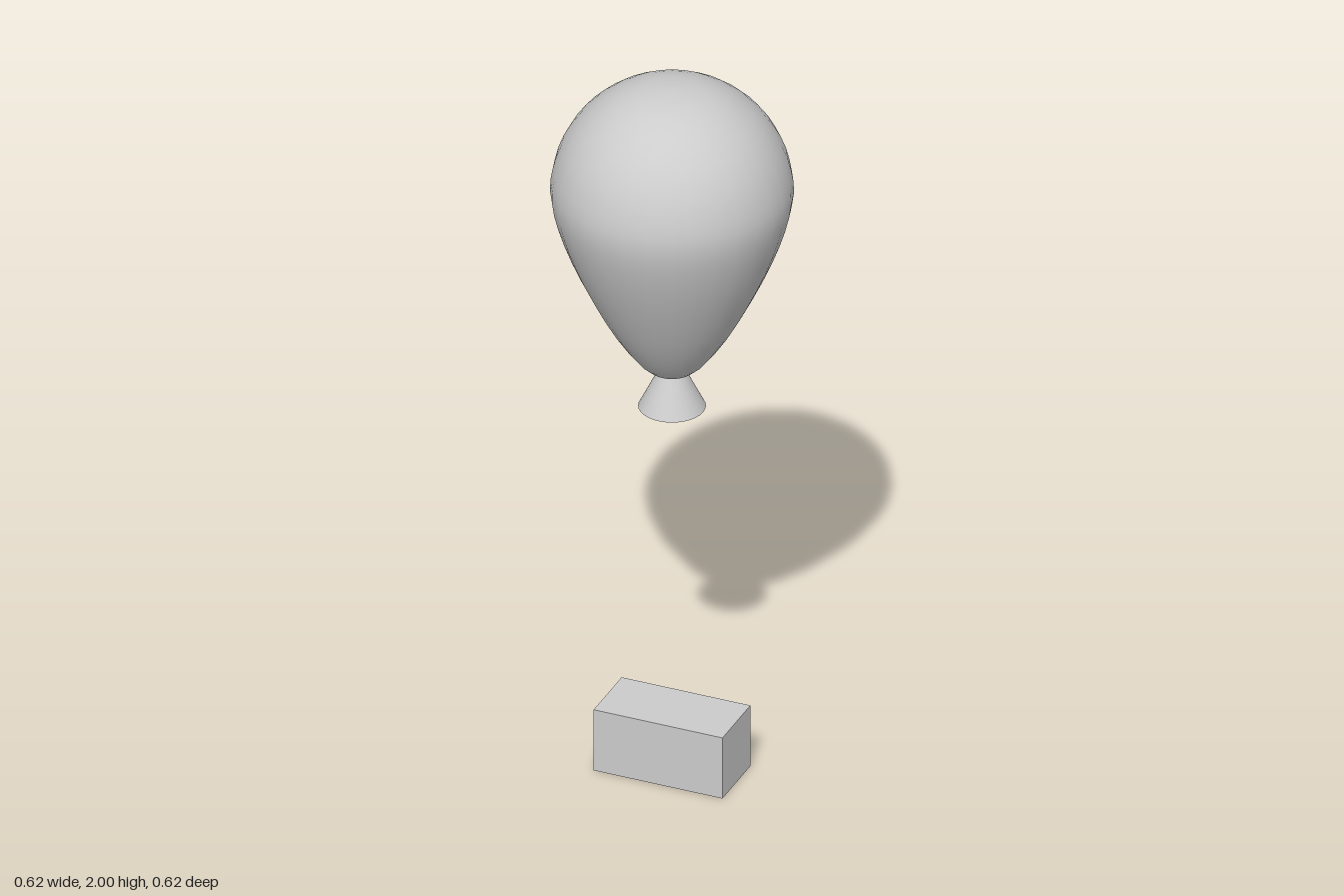
import * as THREE from 'three';

export function createModel() {
  const model = new THREE.Group();
  const material = new THREE.MeshStandardMaterial({ color: 0xcccccc });
  const add = (name, geometry, y, mat = material) => {
    const mesh = new THREE.Mesh(geometry, mat);
    mesh.name = name;
    mesh.position.y = y;
    model.add(mesh);
  };

  // Balloon: round crown tapering to a small rounded base
  const outline = [
    [0, 1.16], [0.04, 1.167], [0.085, 1.2], [0.15, 1.292], [0.208, 1.4],
    [0.258, 1.51], [0.293, 1.61], [0.309, 1.69], [0.303, 1.755], [0.28, 1.826],
    [0.236, 1.895], [0.176, 1.948], [0.118, 1.979], [0.06, 1.995], [0, 2],
  ].map(([r, y]) => new THREE.Vector2(r, y));
  const profile = new THREE.SplineCurve(outline).getPoints(28);
  profile[0].x = profile[28].x = 0;
  add('balloon', new THREE.LatheGeometry(profile, 32), 0);

  // Flared neck, open at the bottom
  const open = material.clone();
  open.side = THREE.DoubleSide;
  add('neck', new THREE.CylinderGeometry(0.034, 0.086, 0.105, 32, 1, true), 1.1175, open);

  // Weight block on the ground, detached from the balloon
  add('weight', new THREE.BoxGeometry(0.356, 0.178, 0.178), 0.089);

  return model;
}
